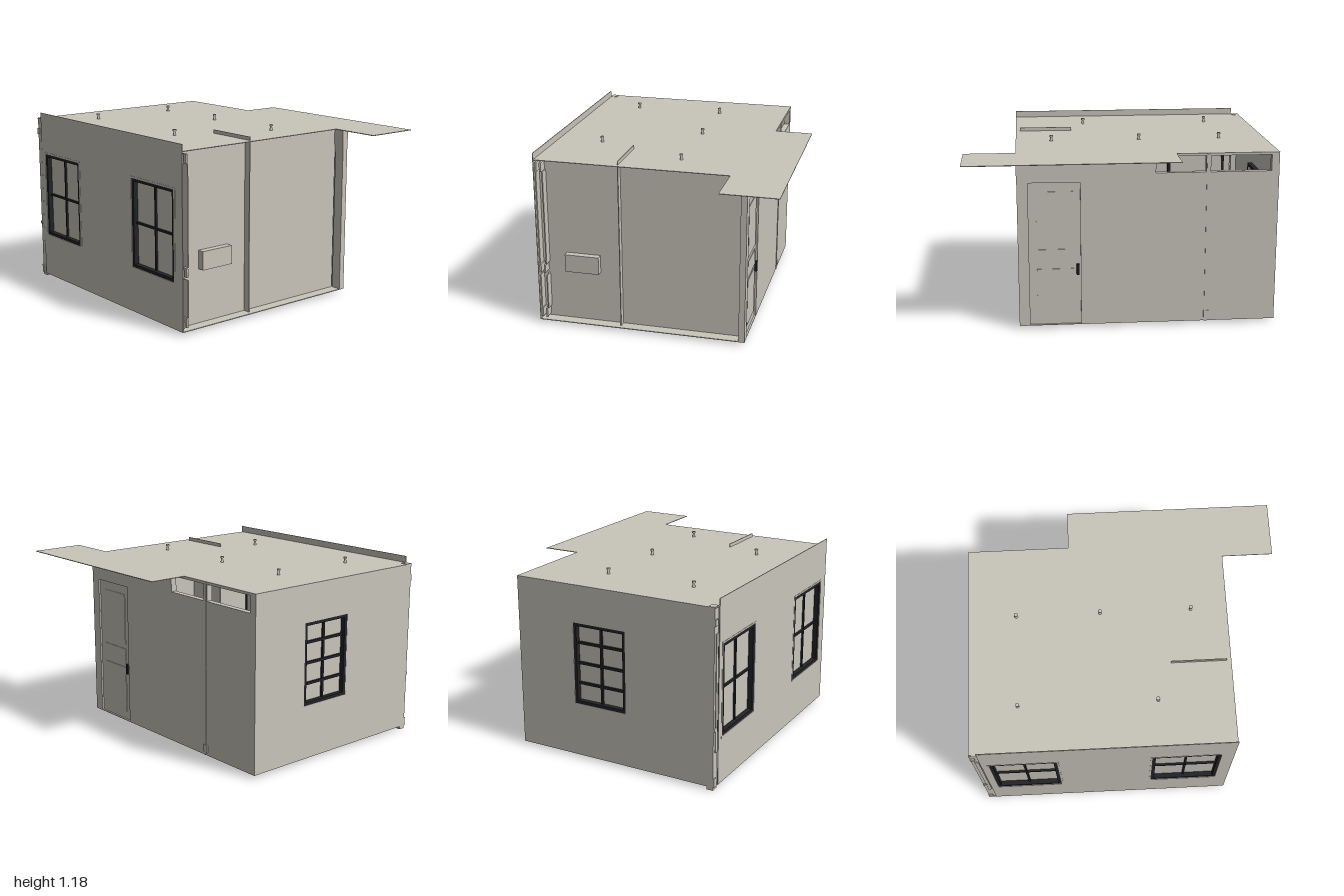
import * as THREE from 'three';

export function createModel() {
  const model = new THREE.Group();
  const plaster = new THREE.MeshStandardMaterial({ color: 0xc9c5bb, side: THREE.DoubleSide });
  plaster.name = 'plaster';
  const black = new THREE.MeshStandardMaterial({ color: 0x222326 });
  black.name = 'black frame';

  const add = (parent, name, geo, mat) => {
    const m = new THREE.Mesh(geo, mat);
    m.name = name;
    parent.add(m);
    return m;
  };
  // Box given by its limits on each axis
  const box = (parent, name, x0, x1, y0, y1, z0, z1, mat = plaster) => {
    const m = add(parent, name, new THREE.BoxGeometry(x1 - x0, y1 - y0, z1 - z0), mat);
    m.position.set((x0 + x1) / 2, (y0 + y1) / 2, (z0 + z1) / 2);
    return m;
  };
  const rect = (Type, x0, x1, y0, y1) => new Type(
    [[x0, y0], [x1, y0], [x1, y1], [x0, y1]].map(p => new THREE.Vector2(...p)));
  // Upright slab with rectangular holes, from z to z + depth
  const slab = (parent, name, r, holes, z, depth, mat = plaster) => {
    const s = rect(THREE.Shape, ...r);
    holes.forEach(h => s.holes.push(rect(THREE.Path, ...h)));
    const m = add(parent, name, new THREE.ExtrudeGeometry(s, { depth, bevelEnabled: false }), mat);
    m.position.z = z;
    return m;
  };
  // Recessed sash window whose wall face is at z
  const windowUnit = (parent, name, [x0, x1, y0, y1], z, cols, rows, bar) => {
    const g = new THREE.Group();
    g.name = name;
    parent.add(g);
    const e = 0.02, w = x1 - x0, h = y1 - y0;
    slab(g, 'frame', [x0, x1, y0, y1], [[x0 + e, x1 - e, y0 + e, y1 - e]], z - 0.04, 0.038, black);
    box(g, 'pane', x0 + 0.005, x1 - 0.005, y0 + 0.005, y1 - 0.005, z - 0.037, z - 0.034);
    for (let i = 1; i < cols; i++) {
      const x = x0 + w * i / cols;
      box(g, 'uprightBar', x - bar / 2, x + bar / 2, y0 + e, y1 - e, z - 0.034, z - 0.022, black);
    }
    for (let i = 1; i < rows; i++) {
      const y = y0 + h * i / rows;
      box(g, 'crossBar', x0 + e, x1 - e, y - bar / 2, y + bar / 2, z - 0.034, z - 0.02, black);
    }
  };

  // Floor and flat roof with its overhang
  box(model, 'floor', -1, 0.67, 0.02, 0.025, -0.57, 0.82);
  const roofShape = new THREE.Shape([[-1, -0.82], [0.67, -0.82], [0.67, 0.46], [1, 0.46], [1, 0.82],
    [-0.34, 0.82], [-0.34, 0.57], [-1, 0.57]].map(p => new THREE.Vector2(...p)));
  const roof = add(model, 'roof',
    new THREE.ExtrudeGeometry(roofShape, { depth: 0.004, bevelEnabled: false }), plaster);
  roof.rotation.x = -Math.PI / 2;
  roof.position.y = 1.138;

  // Front wall with two windows, rising a little above the roof
  const fronts = [[-0.9, -0.47, 0.32, 0.9], [0.145, 0.585, 0.32, 0.9]];
  slab(model, 'frontWall', [-0.95, 0.67, 0.02, 1.185], fronts, 0.815, 0.005);
  for (const r of fronts) {
    windowUnit(model, 'frontWindow', r, 0.82, 2, 2, 0.013);
    slab(model, 'windowCasing', [r[0] - 0.013, r[1] + 0.013, r[2] - 0.014, r[3] + 0.012], [r], 0.82, 0.002);
  }

  // Corner post and its trim
  box(model, 'cornerPost', -1, -0.95, 0, 1.145, 0.77, 0.812);
  box(model, 'cornerPanel', -0.98, -0.956, 0.24, 0.98, 0.812, 0.817);
  for (const [y0, y1] of [[0.02, 0.075], [0.38, 0.4], [1.03, 1.07]])
    box(model, 'cornerTrim', -1, -0.97, y0, y1, 0.812, 0.82);

  // Ends of the rails behind the front wall
  for (const [y0, y1] of [[0.04, 0.1], [0.36, 0.415], [1.06, 1.12]])
    for (const z of [0.77, 0.8]) box(model, 'railEnd', 0.595, 0.66, y0, y1, z, z + 0.012);
  for (const z of [0.762, 0.806]) {
    box(model, 'edgeStrip', 0.595, 0.655, 0.1, 0.34, z, z + 0.007);
    box(model, 'edgeStrip', 0.595, 0.655, 0.42, 1.06, z, z + 0.007);
  }

  // Side wall on -x with an eight-pane window
  const side = new THREE.Group();
  side.name = 'sideWallWithWindow';
  side.rotation.y = -Math.PI / 2;
  model.add(side);
  const sideWindow = [-0.16, 0.21, 0.37, 0.9];
  slab(side, 'sideWall', [-0.57, 0.812, 0.02, 1.14], [sideWindow], 0.99, 0.01);
  windowUnit(side, 'sideWindow', sideWindow, 1, 2, 4, 0.016);

  // Inset side wall on +x, its box and the thin partition
  box(model, 'insetSideWall', 0.585, 0.595, 0.02, 1.14, -0.53, 0.815);
  box(model, 'wallBox', 0.595, 0.64, 0.375, 0.495, 0.41, 0.64);
  box(model, 'partition', 0.285, 0.64, 0.02, 1.165, 0.262, 0.268);

  // Back wall with door recess and two high openings
  const door = [0.27, 0.6, 0.022, 0.97];
  const openings = [[-0.95, -0.56, 1.02, 1.125], [-0.53, -0.21, 1.02, 1.125]];
  slab(model, 'backWall', [-1, 0.67, 0.02, 1.14], [door, ...openings], -0.57, 0.04);
  box(model, 'cornerBlock', 0.595, 0.672, 1.02, 1.138, -0.57, -0.524);
  box(model, 'backPipe', -0.552, -0.534, 0.02, 1.138, -0.574, -0.57);
  box(model, 'pipeFoot', -0.565, -0.53, 0.04, 0.09, -0.578, -0.57);

  // Door with raised panels and a handle
  box(model, 'door', ...door, -0.558, -0.54);
  for (const [y0, y1] of [[0.08, 0.4], [0.42, 0.53], [0.56, 0.91]])
    box(model, 'doorPanel', 0.315, 0.55, y0, y1, -0.562, -0.558);
  box(model, 'doorHandle', 0.279, 0.297, 0.36, 0.43, -0.575, -0.558, black);

  // Ceiling fixings poking through the roof
  for (const [x, z] of [[-0.69, -0.095], [-0.15, -0.095], [0.435, -0.095], [-0.69, 0.51], [0.19, 0.51]]) {
    const stem = add(model, 'fixingStem', new THREE.CylinderGeometry(0.006, 0.011, 0.03, 12), plaster);
    stem.position.set(x, 1.155, z);
    const cap = add(model, 'fixingCap', new THREE.CylinderGeometry(0.012, 0.012, 0.01, 12), plaster);
    cap.position.set(x, 1.175, z);
  }
  return model;
}
